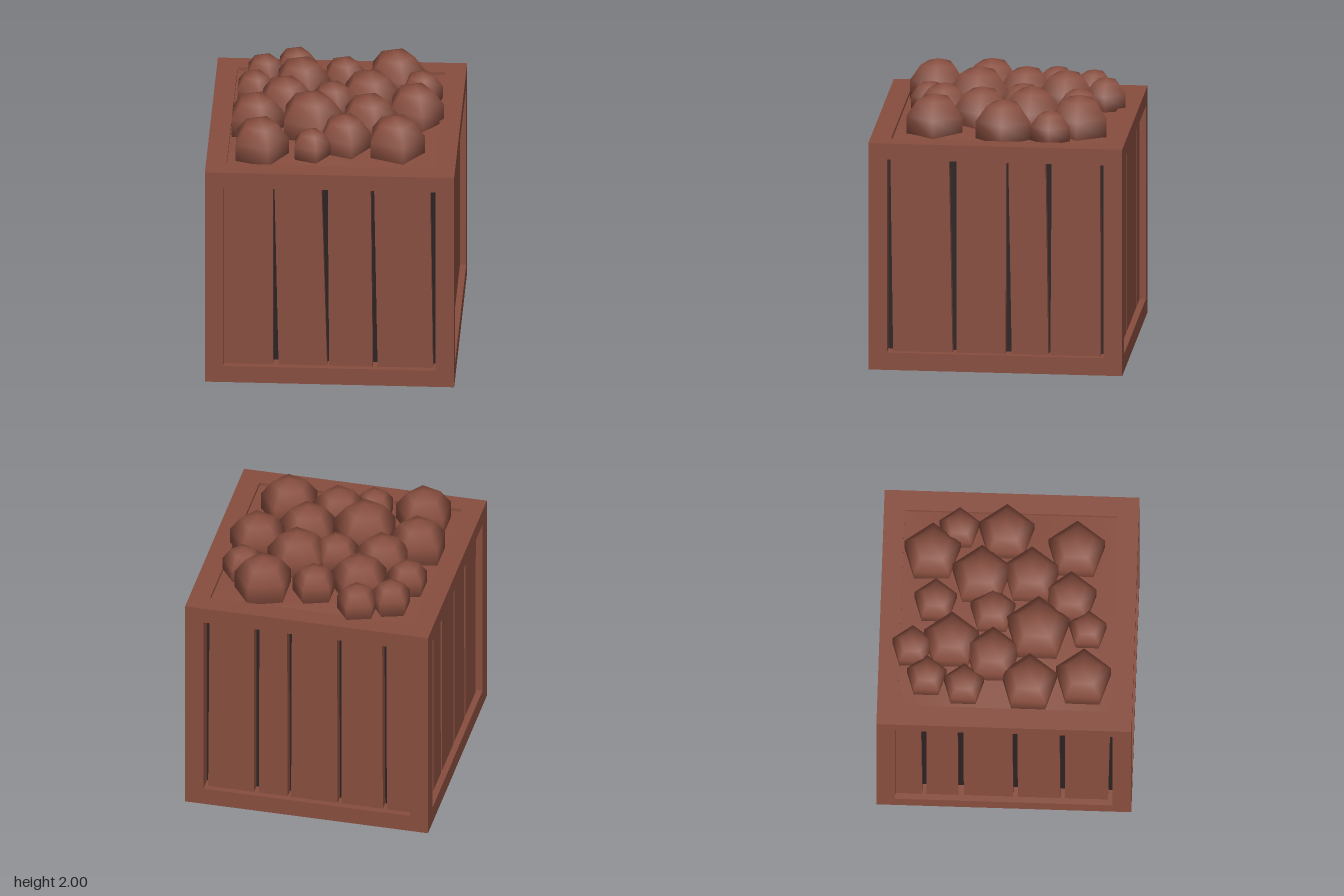
import * as THREE from 'three';

const wood = new THREE.MeshStandardMaterial({ color: 0x884e3f });
wood.name = 'reddish brown';
const shade = new THREE.MeshStandardMaterial({ color: 0x2c2323 });
shade.name = 'dark interior';

const HX = 0.9, HZ = 0.92, H = 1.69;    // outer half sizes and height
const POST = 0.135, RAIL = 0.15;        // post width, rail depth
const LOW = 0.13, HIGH = 1.57;          // panel opening
const RECESS = 0.045, THICK = 0.075;    // slat inset and thickness

function add(parent, name, geometry, material, x = 0, y = 0, z = 0) {
  const mesh = new THREE.Mesh(geometry, material);
  mesh.name = name;
  mesh.position.set(x, y, z);
  parent.add(mesh);
  return mesh;
}

// Slats per side, seen from outside: left top, left bottom, right top, right bottom
const SIDES = [
  { name: 'front', turn: 0, out: HZ, slats: [
    [-0.77, -0.77, -0.41, -0.41], [-0.40, -0.37, -0.06, -0.02],
    [-0.015, -0.005, 0.295, 0.31], [0.32, 0.345, 0.725, 0.745]] },
  { name: 'right', turn: Math.PI / 2, out: HX, slats: [
    [-0.765, -0.745, -0.34, -0.315], [-0.285, -0.285, 0.075, 0.07],
    [0.09, 0.115, 0.36, 0.38], [0.405, 0.395, 0.755, 0.76]] },
  { name: 'back', turn: Math.PI, out: HZ, slats: [
    [-0.73, -0.74, -0.40, -0.40], [-0.36, -0.365, -0.155, -0.15],
    [-0.12, -0.125, 0.215, 0.22], [0.25, 0.25, 0.55, 0.555], [0.58, 0.585, 0.765, 0.765]] },
  { name: 'left', turn: -Math.PI / 2, out: HX, slats: [
    [-0.785, -0.785, -0.60, -0.59], [-0.56, -0.56, -0.335, -0.33],
    [-0.295, -0.29, 0.06, 0.065], [0.095, 0.10, 0.40, 0.405], [0.44, 0.44, 0.765, 0.75]] },
];

// Lumps of produce: x, z, radius, centre height
const LUMPS = [
  [-0.543, -0.57, 0.157, 1.74], [-0.32, -0.68, 0.16, 1.74], [-0.27, -0.40, 0.22, 1.74],
  [0.035, -0.525, 0.17, 1.74], [0.405, -0.56, 0.225, 1.735], [0.60, -0.37, 0.16, 1.73],
  [-0.60, -0.30, 0.16, 1.74], [-0.37, -0.10, 0.215, 1.74], [-0.03, -0.11, 0.18, 1.74],
  [0.235, -0.20, 0.235, 1.735], [0.57, -0.03, 0.22, 1.735], [-0.57, 0.17, 0.22, 1.735],
  [-0.165, 0.22, 0.25, 1.75], [0.245, 0.16, 0.225, 1.735], [-0.52, 0.56, 0.22, 1.735],
  [-0.15, 0.58, 0.15, 1.735], [0.085, 0.45, 0.205, 1.735], [0.455, 0.48, 0.225, 1.73],
];

export function createModel() {
  const model = new THREE.Group();
  model.name = 'crate';

  // Frame: corner posts, then top and bottom rails between them
  const frame = new THREE.Group();
  frame.name = 'frame';
  model.add(frame);
  for (const s of [-1, 1]) {
    for (const t of [-1, 1]) {
      add(frame, 'cornerPost', new THREE.BoxGeometry(POST, H, POST), wood,
        s * (HX - POST / 2), H / 2, t * (HZ - POST / 2));
    }
    for (const [y0, y1] of [[0, LOW], [HIGH, H]]) {
      const h = y1 - y0, y = (y0 + y1) / 2;
      add(frame, 'frontBackRail', new THREE.BoxGeometry(2 * (HX - POST), h, RAIL), wood,
        0, y, s * (HZ - RAIL / 2));
      add(frame, 'sideRail', new THREE.BoxGeometry(RAIL, h, 2 * (HZ - POST)), wood,
        s * (HX - RAIL / 2), y, 0);
    }
  }
  add(frame, 'base', new THREE.BoxGeometry(2 * (HX - RAIL), 0.1, 2 * (HZ - RAIL)), wood, 0, 0.05, 0);

  // Dark interior seen through the gaps
  const inset = RECESS + THICK;
  add(model, 'interior', new THREE.BoxGeometry(2 * (HX - inset), 1.5, 2 * (HZ - inset)), shade, 0, 0.85, 0);

  // Crooked slats on all four sides
  for (const { name, turn, out, slats } of SIDES) {
    const side = new THREE.Group();
    side.name = name + 'Slats';
    side.rotation.y = turn;
    model.add(side);
    for (const [lt, lb, rt, rb] of slats) {
      const shape = new THREE.Shape([
        new THREE.Vector2(lb, LOW), new THREE.Vector2(rb, LOW),
        new THREE.Vector2(rt, HIGH), new THREE.Vector2(lt, HIGH)]);
      add(side, 'slat', new THREE.ExtrudeGeometry(shape, { depth: THICK, bevelEnabled: false }),
        wood, 0, 0, out - inset);
    }
  }

  // Gently domed fill just below the rim
  const fill = new THREE.PlaneGeometry(2 * (HX - RAIL), 2 * (HZ - RAIL), 8, 8).rotateX(-Math.PI / 2);
  const p = fill.attributes.position;
  for (let i = 0; i < p.count; i++) {
    const u = p.getX(i) / (HX - RAIL), v = p.getZ(i) / (HZ - RAIL);
    p.setY(i, 1.665 + 0.045 * (1 - u * u) * (1 - v * v));
  }
  fill.computeVertexNormals();
  add(model, 'fill', fill, wood);

  // Five-sided lumps heaped on top
  const heap = new THREE.Group();
  heap.name = 'produce';
  model.add(heap);
  const lump = new THREE.SphereGeometry(1, 5, 5).rotateY(Math.PI);
  for (const [x, z, r, y] of LUMPS) add(heap, 'lump', lump, wood, x, y, z).scale.setScalar(r);

  return model;
}
